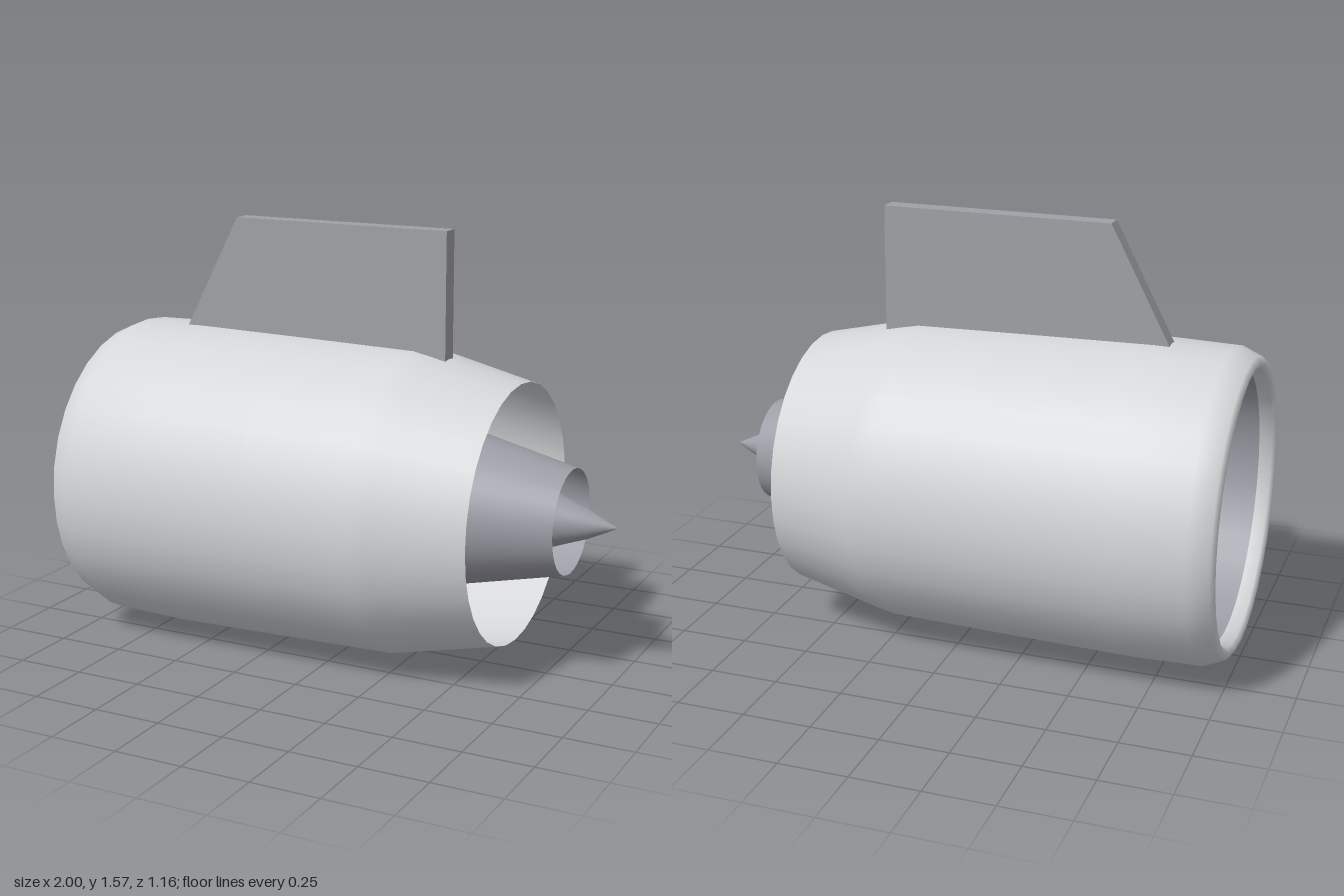
import * as THREE from 'three';

const material = (name, color) => {
  const m = new THREE.MeshStandardMaterial({ color, side: THREE.DoubleSide });
  m.name = name;
  return m;
};

export function createModel() {
  const shellGrey = material('pale shell grey', 0xd4d6d8);
  const steel = material('steel grey', 0x9c9da6);
  const pylonGrey = material('pylon grey', 0xa0a1a6);
  const bladeGrey = material('blade grey', 0x96979c);
  const bronze = material('bronze', 0xb39c70);
  const dark = material('dark spinner grey', 0x4a4b50);

  const model = new THREE.Group();
  model.name = 'jetEngine';

  // everything that turns about the engine axis (x)
  const engine = new THREE.Group();
  engine.name = 'engine';
  engine.position.y = 0.579;
  model.add(engine);

  // surface of revolution about x from [x, radius] pairs
  const turned = (name, mat, profile, segments = 32) => {
    const points = profile.map(([x, r]) => new THREE.Vector2(r, x));
    const mesh = new THREE.Mesh(new THREE.LatheGeometry(points, segments), mat);
    mesh.rotation.z = -Math.PI / 2;
    mesh.name = name;
    engine.add(mesh);
  };

  // ring of pitched plate blades
  const bladeRing = (name, mat, { count, x, inner, outer, chord, thickness, pitch }) => {
    const ring = new THREE.Group();
    ring.name = name;
    ring.position.x = x;
    const geometry = new THREE.BoxGeometry(chord, outer - inner, thickness);
    geometry.rotateY(pitch);
    geometry.translate(0, (inner + outer) / 2, 0);
    for (let i = 0; i < count; i++) {
      const blade = new THREE.Mesh(geometry, mat);
      blade.name = 'blade';
      blade.rotation.x = (i / count) * Math.PI * 2;
      ring.add(blade);
    }
    engine.add(ring);
  };

  // outer cowling with its rolled inlet lip, and the inlet wall
  turned('nacelle', shellGrey, [
    [-0.94, 0.487], [-0.985, 0.495], [-1, 0.515], [-0.985, 0.54], [-0.91, 0.572],
    [-0.65, 0.578], [-0.2, 0.57], [0.23, 0.561], [0.3, 0.547], [0.63, 0.472],
  ]);
  turned('inletWall', steel, [[-0.94, 0.487], [-0.4, 0.49]]);

  // fan and spinner
  turned('spinner', dark, [[-0.83, 0], [-0.81, 0.045], [-0.77, 0.095], [-0.72, 0.13], [-0.66, 0.14], [-0.55, 0.14]]);
  bladeRing('fan', bladeGrey, {
    count: 32, x: -0.7, inner: 0.12, outer: 0.478, chord: 0.12, thickness: 0.024, pitch: Math.PI / 4,
  });

  // core: intake fairing, bronze casing, exhaust cowl
  turned('coreFairing', steel, [[-0.55, 0.14], [-0.4, 0.28], [-0.2, 0.335], [-0.1, 0.342]]);
  turned('coreCasing', bronze, [[-0.1, 0.342], [0.14, 0.342], [0.43, 0.28]]);
  turned('coreCowl', steel, [[0.43, 0.28], [0.63, 0.235], [0.83, 0.19]]);

  // turbine and tail cone inside the core exhaust
  bladeRing('turbine', bladeGrey, {
    count: 40, x: 0.6, inner: 0.15, outer: 0.2, chord: 0.035, thickness: 0.01, pitch: Math.PI / 4,
  });
  turned('tailCone', steel, [[0.54, 0.165], [0.62, 0.16], [0.72, 0.115], [0.83, 0.074], [0.89, 0.053], [0.95, 0.025], [1, 0]]);

  // pylon above the cowling, its root passing through the shell
  const outline = new THREE.Shape([
    [-0.705, 1.15], [0.355, 1.06], [0.355, 1.57], [-0.485, 1.57],
  ].map(([x, y]) => new THREE.Vector2(x, y)));
  const plate = new THREE.ExtrudeGeometry(outline, { depth: 0.066, bevelEnabled: false });
  plate.translate(0, 0, -0.033);
  const pylon = new THREE.Mesh(plate, pylonGrey);
  pylon.name = 'pylon';
  model.add(pylon);

  return model;
}
